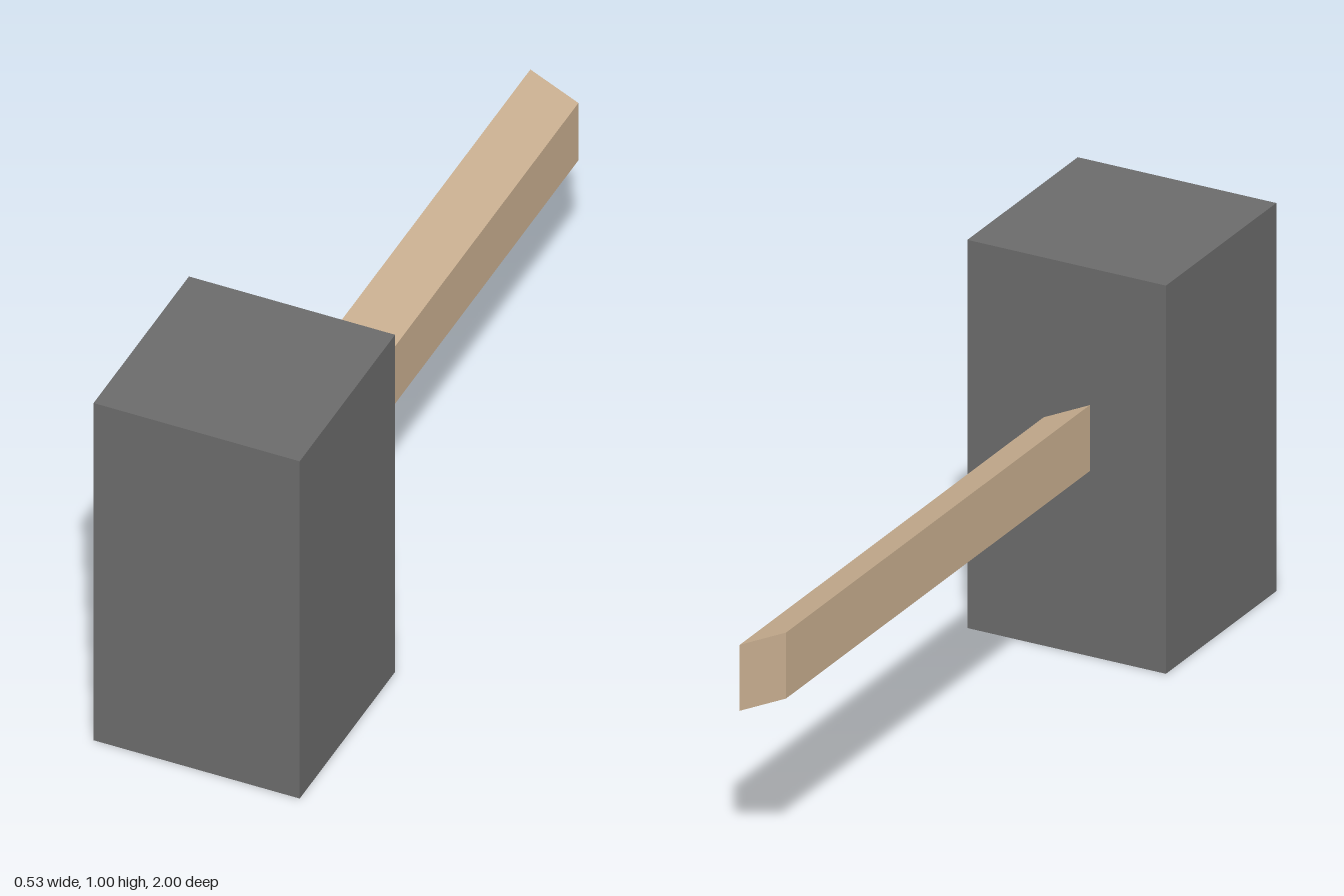
import * as THREE from 'three';

export function createModel() {
  const model = new THREE.Group();
  model.name = 'mallet';

  const stone = new THREE.MeshStandardMaterial({ color: 0x6b6b6b });
  stone.name = 'dark grey';
  const wood = new THREE.MeshStandardMaterial({ color: 0xcab091 });
  wood.name = 'light wood';

  // Head: tall square block standing on the ground
  const head = new THREE.Mesh(new THREE.BoxGeometry(0.532, 1, 0.533), stone);
  head.name = 'head';
  head.position.set(0, 0.5, 0.7335);
  model.add(head);

  // Handle: bar with a slanted cross-section, higher on the -x side
  const w = 0.062, low = 0.418, height = 0.17, slant = 0.059;
  const section = new THREE.Shape([
    new THREE.Vector2(-w, low + slant),
    new THREE.Vector2(w, low),
    new THREE.Vector2(w, low + height),
    new THREE.Vector2(-w, low + height + slant),
  ]);
  const handle = new THREE.Mesh(
    new THREE.ExtrudeGeometry(section, { depth: 1.467, bevelEnabled: false }), wood);
  handle.name = 'handle';
  handle.position.z = -1;
  model.add(handle);

  return model;
}
